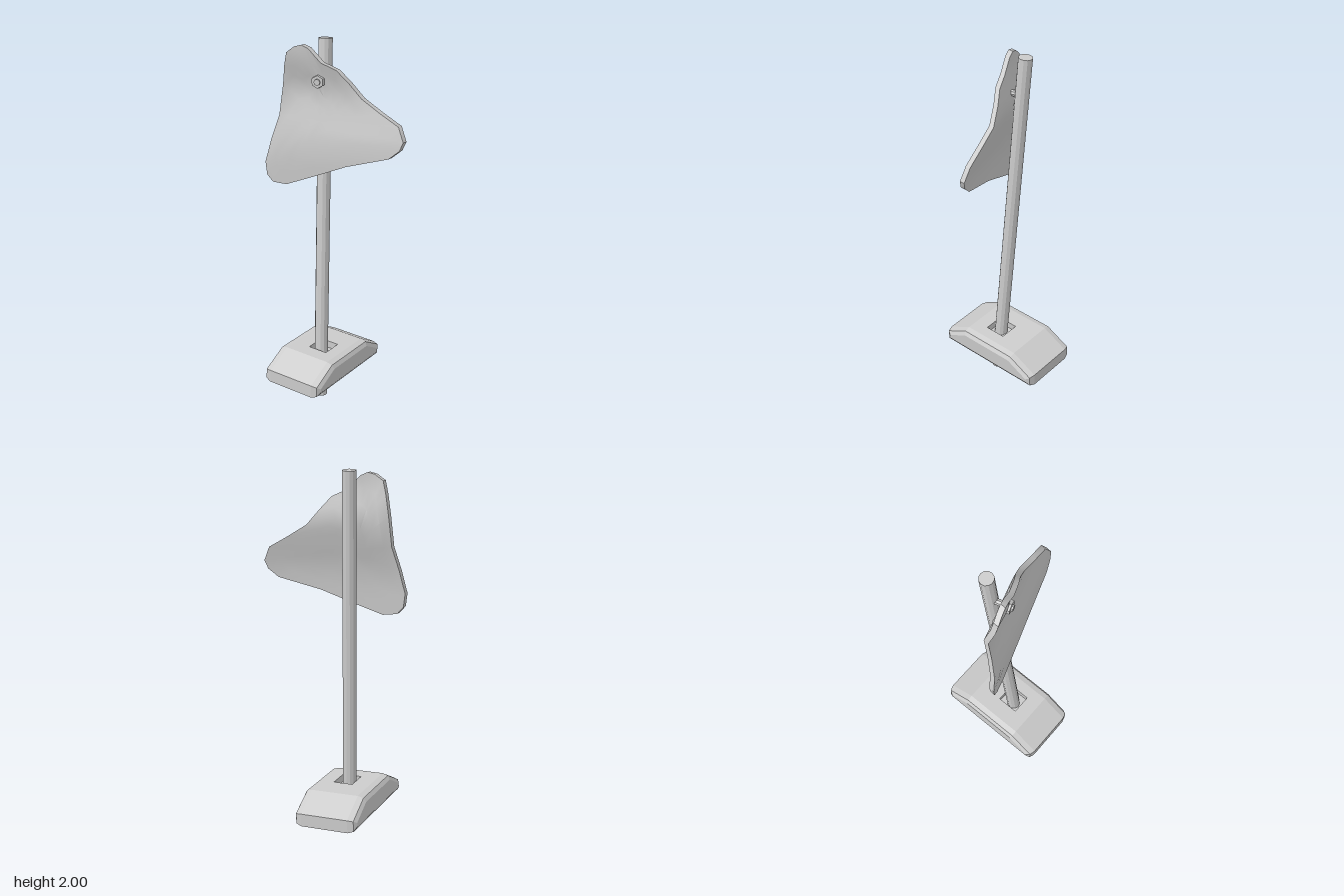
import * as THREE from 'three';
import { toCreasedNormals } from 'three/addons/utils/BufferGeometryUtils.js';

const flat = new THREE.MeshStandardMaterial({ color: 0xcccccc, flatShading: true });
const smooth = new THREE.MeshStandardMaterial({ color: 0xcccccc });
const inside = new THREE.MeshStandardMaterial({ color: 0xcccccc, flatShading: true, side: THREE.BackSide });

function add(parent, name, geometry, material) {
  const mesh = new THREE.Mesh(geometry, material);
  mesh.name = name;
  parent.add(mesh);
  return mesh;
}

// Remove the triangles lying in the horizontal plane at the given height
function dropTop(geometry, height) {
  const src = geometry.index ? geometry.toNonIndexed() : geometry;
  const p = src.attributes.position, kept = [];
  for (let i = 0; i < p.count; i += 3) {
    if ([0, 1, 2].every(k => p.getY(i + k) > height - 0.001)) continue;
    for (let k = 0; k < 3; k++) kept.push(p.getX(i + k), p.getY(i + k), p.getZ(i + k));
  }
  const out = new THREE.BufferGeometry();
  out.setAttribute('position', new THREE.Float32BufferAttribute(kept, 3));
  out.computeVertexNormals();
  return out;
}

// Sloped block with bevelled sides and a square socket in its top
function makeBase() {
  const base = new THREE.Group();
  base.name = 'base';
  const height = 0.15, topHalf = 0.172, flatHalf = 0.135, bevel = 0.045;
  const profile = new THREE.Shape([
    [-0.32, 0], [0.32, 0], [0.32, 0.07], [topHalf, height], [-topHalf, height], [-0.32, 0.07],
  ].map(([x, y]) => new THREE.Vector2(x, y)));
  const body = new THREE.ExtrudeGeometry(profile, {
    depth: flatHalf * 2, bevelEnabled: true, bevelThickness: bevel,
    bevelSize: 0.03, bevelOffset: -0.03, bevelSegments: 2,
  });
  body.translate(0, 0, -flatHalf).rotateY(Math.PI / 2);
  add(base, 'baseBody', dropTop(body, height), flat);

  // Top surface with the socket opening
  const cx = 0.015, cz = 0.028, w = 0.055, l = 0.06, depth = 0.04;
  const rect = (x, y, a, b) => [[-a, -b], [a, -b], [a, b], [-a, b]]
    .map(([u, v]) => new THREE.Vector2(x + u, y + v));
  const top = new THREE.Shape(rect(0, 0, flatHalf, topHalf));
  top.holes.push(new THREE.Path(rect(cx, -cz, w, l)));
  add(base, 'baseTop', new THREE.ShapeGeometry(top).rotateX(-Math.PI / 2).translate(0, height, 0), flat);

  const pit = new THREE.BoxGeometry(w * 2, depth, l * 2).translate(cx, height - depth / 2, cz);
  add(base, 'socket', dropTop(pit, height), inside);

  base.position.set(-0.095, 0.145, 0);
  base.rotation.set(0, 0.068, -0.055);
  return base;
}

// Front surface depth of the warped plate
const warp = [[1.23, 0.035], [1.4, 0.037], [1.5, 0.026], [1.6, 0], [1.73, -0.03],
  [1.82, -0.008], [1.9, 0.018], [1.98, 0.018]];
function plateDepth(x, y) {
  let i = 0;
  while (i < warp.length - 2 && y > warp[i + 1][0]) i++;
  const [y0, d0] = warp[i], [y1, d1] = warp[i + 1];
  const t = THREE.MathUtils.clamp((y - y0) / (y1 - y0), 0, 1);
  return -0.37 * x + d0 + (d1 - d0) * t;
}

// Three-cornered plate made of rings shrinking from the outline to the middle
function makePlate() {
  const outline = [
    [-0.165, 1.977], [-0.2, 1.967], [-0.24, 1.935], [-0.257, 1.87], [-0.285, 1.76], [-0.293, 1.6],
    [-0.32, 1.47], [-0.347, 1.35], [-0.34, 1.28], [-0.31, 1.242], [-0.24, 1.235], [-0.1, 1.29],
    [0.07, 1.36], [0.28, 1.42], [0.33, 1.465], [0.345, 1.51], [0.31, 1.585], [0.21, 1.645],
    [0.11, 1.71], [0.05, 1.79], [0, 1.855], [-0.07, 1.89], [-0.13, 1.96],
  ];
  const cx = -0.08, cy = 1.58, thickness = 0.03, n = outline.length;
  const scales = [0, 0.2, 0.4, 0.6, 0.8, 1];
  const rows = [...scales.map(s => [s, 0]), ...scales.slice().reverse().map(s => [s, -thickness])];
  const positions = [], index = [];
  for (const [s, dz] of rows) {
    for (const [x, y] of outline) {
      const px = cx + (x - cx) * s, py = cy + (y - cy) * s;
      positions.push(px, py, plateDepth(px, py) + dz);
    }
  }
  for (let r = 0; r < rows.length - 1; r++) {
    for (let j = 0; j < n; j++) {
      const a = r * n + j, b = r * n + (j + 1) % n, c = a + n, d = b + n;
      if (rows[r + 1][0] > 0) index.push(a, c, d);
      if (rows[r][0] > 0) index.push(a, rows[r + 1][0] > 0 ? d : c, b);
    }
  }
  const geometry = new THREE.BufferGeometry();
  geometry.setAttribute('position', new THREE.Float32BufferAttribute(positions, 3));
  geometry.setIndex(index);
  return toCreasedNormals(geometry, 0.6);
}

// Hexagonal nut with the bolt end showing
function makeBolt() {
  const bolt = new THREE.Group();
  bolt.name = 'bolt';
  add(bolt, 'nut', new THREE.CylinderGeometry(0.034, 0.036, 0.026, 6).rotateX(Math.PI / 2), flat)
    .position.z = 0.012;
  add(bolt, 'boltShaft', new THREE.CylinderGeometry(0.017, 0.017, 0.1, 8).rotateX(Math.PI / 2), flat)
    .position.z = -0.015;
  bolt.position.set(-0.098, 1.79, plateDepth(-0.098, 1.79));
  bolt.rotation.y = 0.35;
  return bolt;
}

export function createModel() {
  const model = new THREE.Group();
  model.name = 'signPost';

  // Leaning pole
  const foot = new THREE.Vector3(-0.072, 0.004, 0.053), tip = new THREE.Vector3(-0.127, 1.997, -0.075);
  const along = tip.clone().sub(foot);
  const pole = add(model, 'pole', new THREE.CylinderGeometry(0.037, 0.037, along.length(), 12), flat);
  pole.position.copy(foot).add(tip).multiplyScalar(0.5);
  pole.quaternion.setFromUnitVectors(new THREE.Vector3(0, 1, 0), along.normalize());

  model.add(makeBase());
  add(model, 'plate', makePlate(), smooth);
  model.add(makeBolt());
  return model;
}
